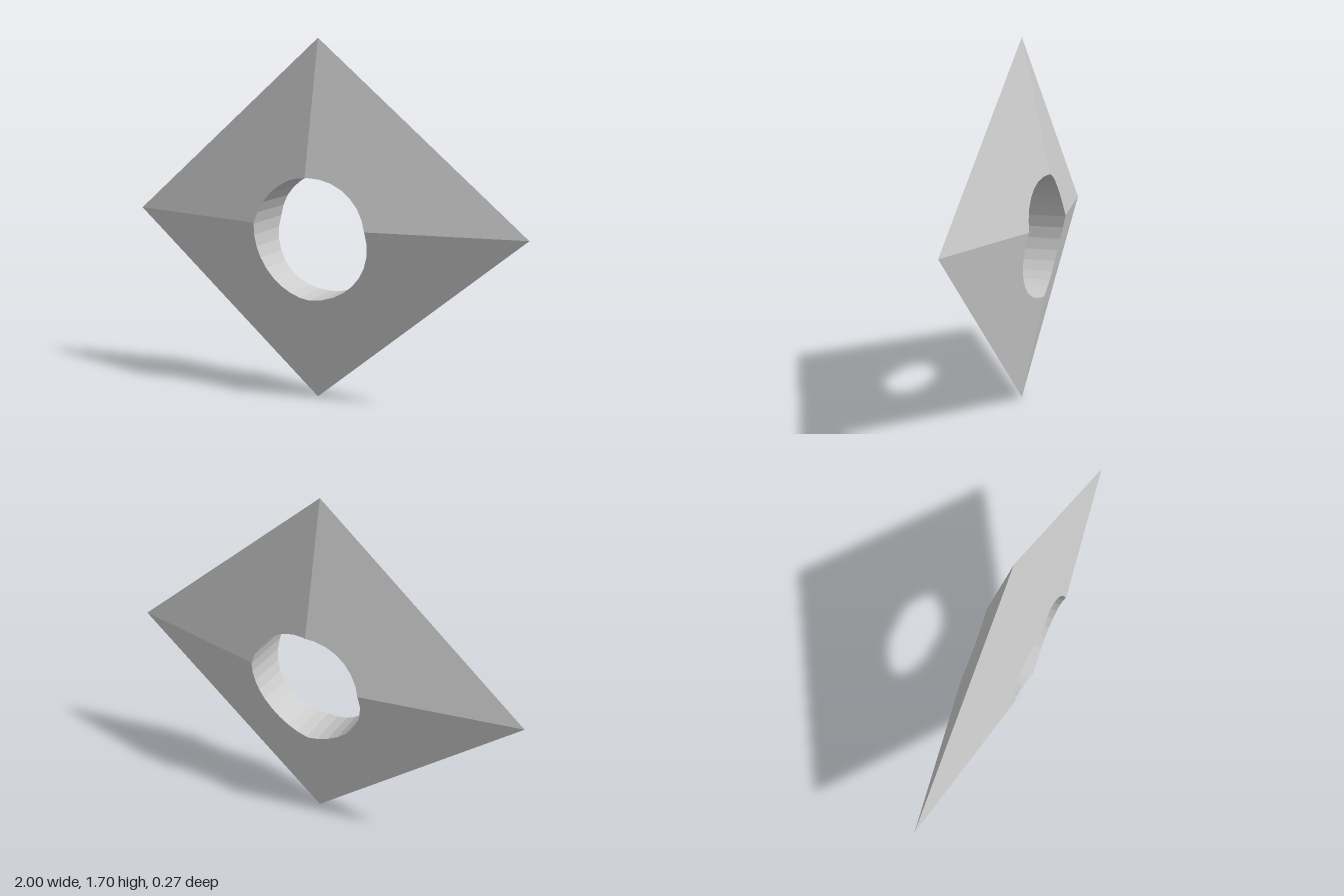
import * as THREE from 'three';

const HALF_W = 1, HALF_H = 0.848, HALF_D = 0.185;
const HOLE = { x: 0.013, y: -0.061, r: 0.287, segments: 32 };

// Half thickness of the bipyramid at a point measured from its middle
const depth = (x, y) => HALF_D * (1 - Math.abs(x) / HALF_W - Math.abs(y) / HALF_H);

// Hole outline, with an extra point wherever it crosses a ridge
function holeLoop() {
  const at = i => {
    const a = (i / HOLE.segments) * Math.PI * 2;
    return new THREE.Vector2(HOLE.x + HOLE.r * Math.cos(a), HOLE.y + HOLE.r * Math.sin(a));
  };
  const loop = [];
  for (let i = 0; i < HOLE.segments; i++) {
    const a = at(i), b = at(i + 1);
    loop.push(a);
    for (const axis of ['x', 'y']) {
      if (a[axis] * b[axis] < 0) {
        const p = a.clone().lerp(b, a[axis] / (a[axis] - b[axis]));
        p[axis] = 0;
        loop.push(p);
      }
    }
  }
  return loop;
}

// One flat sloping face: a quarter of the diamond cut by the hole
function facetGeometry(loop, sx, sy, side) {
  const rim = loop
    .filter(p => p.x * sx >= 0 && p.y * sy >= 0)
    .sort((p, q) => Math.atan2(Math.abs(q.y), Math.abs(q.x)) - Math.atan2(Math.abs(p.y), Math.abs(p.x)));
  const corners = [new THREE.Vector2(sx * HALF_W, 0), new THREE.Vector2(0, sy * HALF_H)];
  const geo = new THREE.ShapeGeometry(new THREE.Shape([...corners, ...rim]));
  const pos = geo.attributes.position;
  for (let i = 0; i < pos.count; i++) pos.setZ(i, side * depth(pos.getX(i), pos.getY(i)));
  if (side < 0) geo.index.array.reverse();
  geo.computeVertexNormals();
  return geo;
}

// Inner wall of the hole, facing its axis
function wallGeometry(loop) {
  const v = [];
  loop.forEach((a, i) => {
    const b = loop[(i + 1) % loop.length];
    const da = depth(a.x, a.y), db = depth(b.x, b.y);
    v.push(a.x, a.y, da, b.x, b.y, db, b.x, b.y, -db);
    v.push(a.x, a.y, da, b.x, b.y, -db, a.x, a.y, -da);
  });
  const geo = new THREE.BufferGeometry();
  geo.setAttribute('position', new THREE.Float32BufferAttribute(v, 3));
  geo.computeVertexNormals();
  return geo;
}

export function createModel() {
  const group = new THREE.Group();
  group.name = 'piercedDiamond';
  const material = new THREE.MeshStandardMaterial({ color: 0xcccccc, flatShading: true });
  const add = (geo, name) => {
    const mesh = new THREE.Mesh(geo, material);
    mesh.name = name;
    mesh.position.y = HALF_H;
    group.add(mesh);
  };

  const loop = holeLoop();
  for (const side of [1, -1])
    for (const sy of [1, -1])
      for (const sx of [1, -1])
        add(facetGeometry(loop, sx, sy, side),
          `${side > 0 ? 'front' : 'back'}${sy > 0 ? 'Upper' : 'Lower'}${sx > 0 ? 'Left' : 'Right'}Facet`);
  add(wallGeometry(loop), 'holeWall');
  return group;
}
